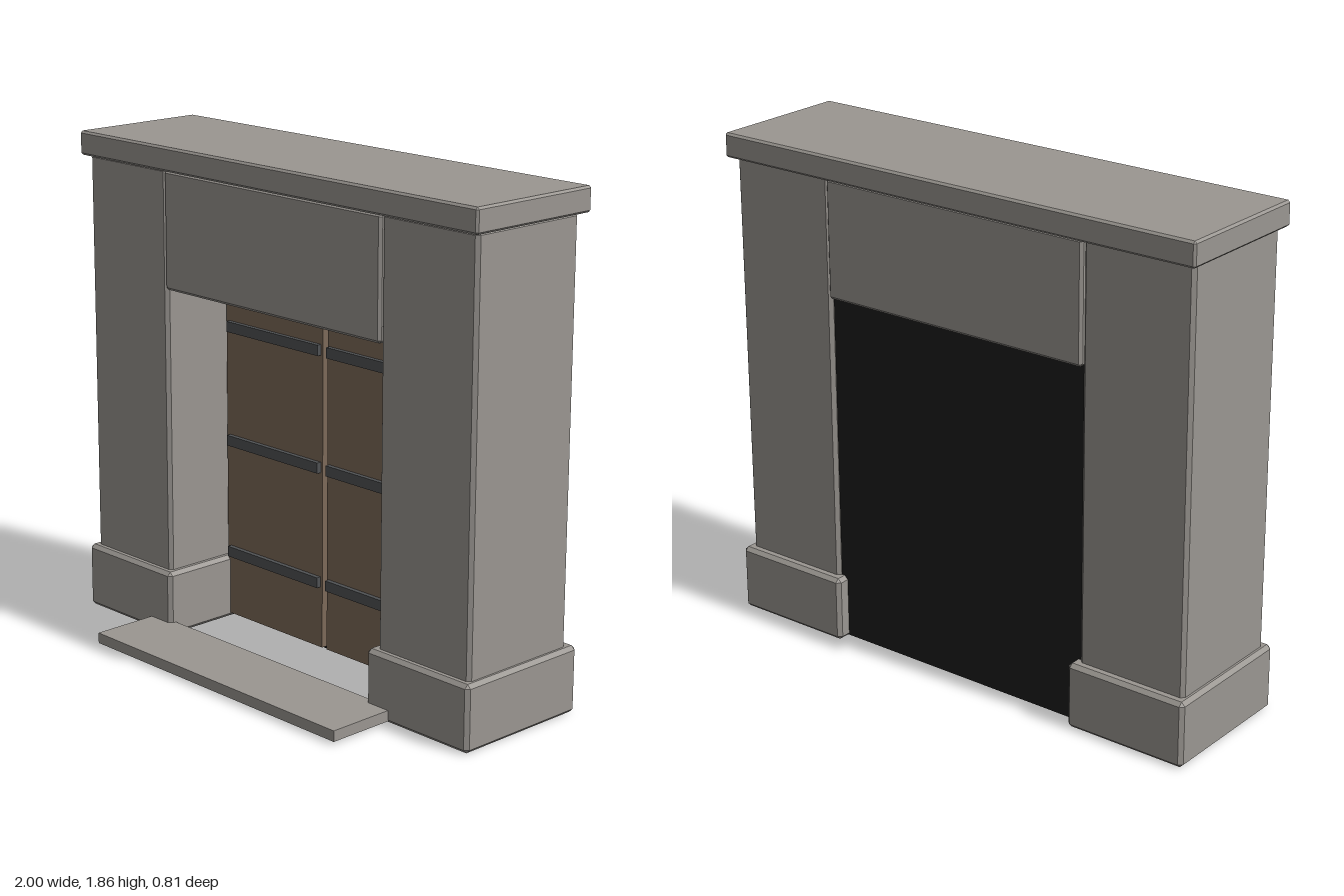
import * as THREE from 'three';
import { ConvexGeometry } from 'three/addons/geometries/ConvexGeometry.js';

const material = (name, color) => {
  const m = new THREE.MeshStandardMaterial({ color });
  m.name = name;
  return m;
};

// Box between two corners with every edge chamfered by c
function chamferedBox(x0, x1, y0, y1, z0, z1, c) {
  const points = [];
  for (const [x, sx] of [[x0, 1], [x1, -1]])
    for (const [y, sy] of [[y0, 1], [y1, -1]])
      for (const [z, sz] of [[z0, 1], [z1, -1]])
        points.push(
          new THREE.Vector3(x, y + sy * c, z + sz * c),
          new THREE.Vector3(x + sx * c, y, z + sz * c),
          new THREE.Vector3(x + sx * c, y + sy * c, z));
  return new ConvexGeometry(points);
}

function plainBox(x0, x1, y0, y1, z0, z1) {
  return new THREE.BoxGeometry(x1 - x0, y1 - y0, z1 - z0)
    .translate((x0 + x1) / 2, (y0 + y1) / 2, (z0 + z1) / 2);
}

export function createModel() {
  const stone = material('stone', 0x9a9691);
  const wood = material('wood', 0x7d6a59);
  const iron = material('iron', 0x505254);
  const soot = material('soot', 0x1c1c1c);

  const model = new THREE.Group();
  model.name = 'fireplace';
  const add = (name, geometry, mat, parent = model) => {
    const mesh = new THREE.Mesh(geometry, mat);
    mesh.name = name;
    parent.add(mesh);
  };

  // Mantel shelf, lintel and hearth slab
  add('mantelShelf', chamferedBox(-1, 1, 1.77, 1.86, -0.405, 0.147, 0.008), stone);
  add('lintel', chamferedBox(-0.55, 0.55, 1.33, 1.77, -0.38, 0.125, 0.01), stone);
  add('hearth', plainBox(-0.63, 0.63, 0.012, 0.052, 0.12, 0.405), stone);

  // Firebox behind the doors
  add('firebox', plainBox(-0.55, 0.55, 0.01, 1.34, -0.355, -0.18), soot);

  for (const [side, s] of [['left', 1], ['right', -1]]) {
    // Mirrored x span
    const span = (a, b) => (s > 0 ? [a, b] : [-b, -a]);

    // Column on its plinth
    add(side + 'Column', chamferedBox(...span(0.547, 0.978), 0.23, 1.775, -0.37, 0.118, 0.013), stone);
    add(side + 'Plinth', chamferedBox(...span(0.52, 1), 0.003, 0.25, -0.405, 0.147, 0.014), stone);

    // Door with three iron straps
    const door = new THREE.Group();
    door.name = side + 'Door';
    model.add(door);
    add('doorPanel', plainBox(...span(0.012, 0.53), 0.02, 1.32, -0.185, -0.155), wood, door);
    for (const y of [0.275, 0.715, 1.155])
      add('strap', plainBox(...span(0.022, 0.512), y - 0.02, y + 0.02, -0.16, -0.137), iron, door);
  }
  return model;
}
